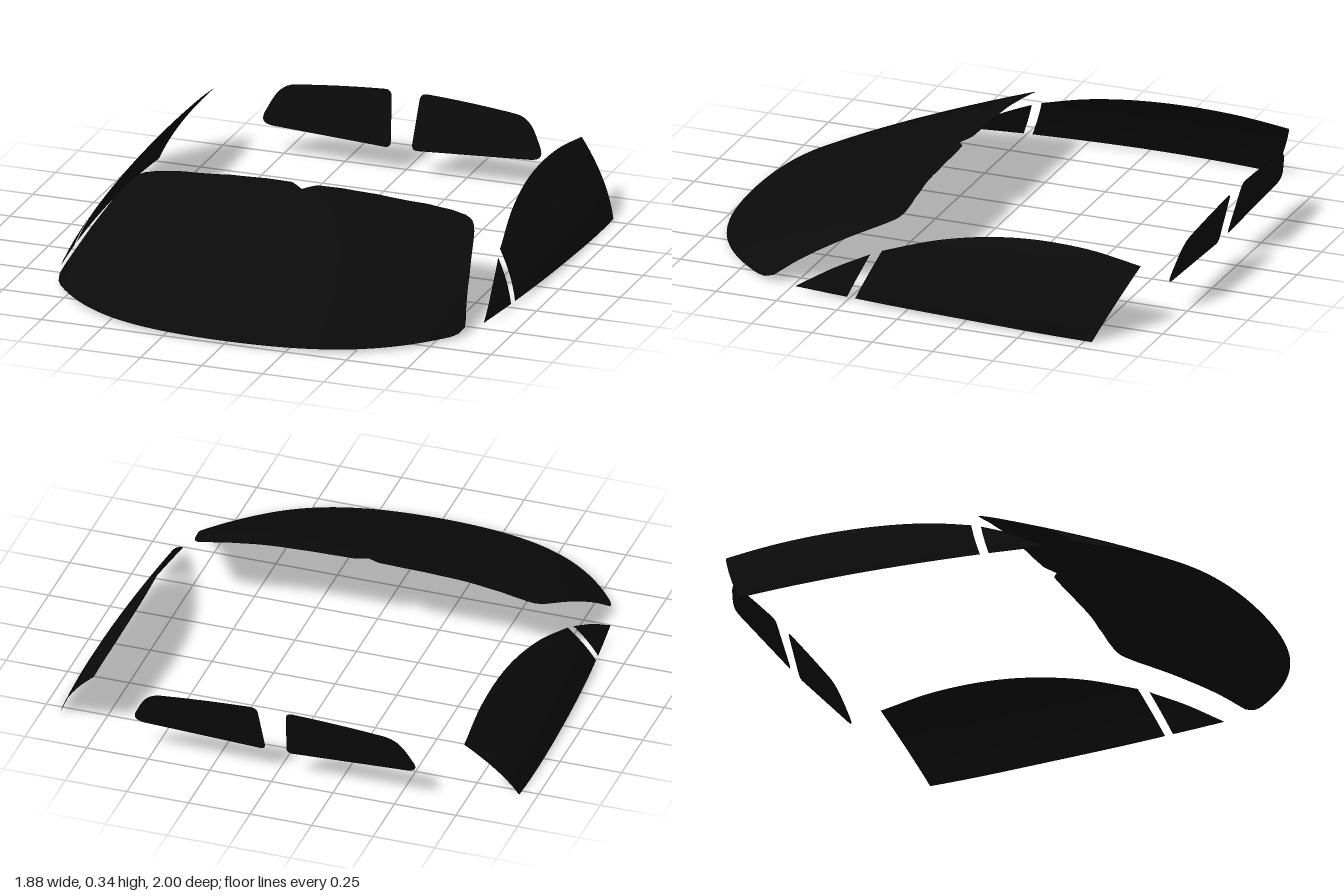
import * as THREE from 'three';
import { ParametricGeometry } from 'three/addons/geometries/ParametricGeometry.js';

const glass = new THREE.MeshStandardMaterial({ color: 0x0a0a0a, side: THREE.DoubleSide });

// Linear interpolation through [x, y] pairs
function lookup(points, x) {
  for (let i = 1; i < points.length; i++) {
    const [x0, y0] = points[i - 1], [x1, y1] = points[i];
    if (x <= x1) return y0 + (y1 - y0) * (x - x0) / (x1 - x0);
  }
  return points[points.length - 1][1];
}

function patch(name, fn, nu, nv) {
  const geometry = new ParametricGeometry(fn, nu, nv);
  geometry.computeVertexNormals();
  const mesh = new THREE.Mesh(geometry, glass);
  mesh.name = name;
  return mesh;
}

// Windshield: front outline heights by |x|, bulging forward in the middle
const TOP = [[0, 0.332], [0.02, 0.336], [0.045, 0.342], [0.15, 0.342], [0.3, 0.337], [0.5, 0.323],
  [0.6, 0.31], [0.66, 0.297], [0.69, 0.285], [0.71, 0.268], [0.73, 0.238], [0.77, 0.165],
  [0.8, 0.1], [0.823, 0.05], [0.83, 0.03]];
const BOTTOM = [[0, 0.012], [0.8, 0.012], [0.82, 0.016], [0.83, 0.03]];

function windshield() {
  return patch('windshield', (u, v, p) => {
    const x = 0.83 * Math.sin((u - 0.5) * Math.PI), a = Math.abs(x);
    const y = THREE.MathUtils.lerp(lookup(BOTTOM, a), lookup(TOP, a), v);
    const h = y - 0.012;
    const bow = (0.25 * a ** 2 + 0.45 * a ** 4) * (1 - 0.7 * h);
    p.set(x, y, 1 - 2.05 * h - 1.9 * h * h - bow);
  }, 100, 24);
}

// Side glass: lower and upper edges given as (z, y), x follows the body's curve
function bodyX(y, z) {
  const d = z + 0.5;
  return 0.94 - (d > 0 ? 0.0714 : 0.12) * d * d - 0.31 * y - 1.19 * y * y;
}

function sideGlass(name, side, lower, upper) {
  const curve = pts => new THREE.SplineCurve(pts.map(([z, y]) => new THREE.Vector2(z, y)));
  const low = curve(lower), high = curve(upper);
  return patch(name, (u, v, p) => {
    const t = side > 0 ? u : 1 - u;
    const q = low.getPoint(t).lerp(high.getPoint(t), v);
    p.set(side * bodyX(q.y, q.x), q.y, q.x);
  }, 32, 12);
}

// Rear pane: flat rounded outline leaning back
function rearPane(name, side) {
  const s = new THREE.Shape();
  s.moveTo(0.065, 0.105);
  s.lineTo(0.52, 0.128);
  s.bezierCurveTo(0.57, 0.13, 0.58, 0.148, 0.56, 0.185);
  s.bezierCurveTo(0.535, 0.235, 0.515, 0.285, 0.45, 0.292);
  s.quadraticCurveTo(0.27, 0.312, 0.085, 0.32);
  s.quadraticCurveTo(0.06, 0.32, 0.057, 0.295);
  s.lineTo(0.044, 0.13);
  s.quadraticCurveTo(0.042, 0.105, 0.065, 0.105);
  const pts = s.getPoints(10).map(p => new THREE.Vector2(side * p.x, p.y));
  const geometry = new THREE.ShapeGeometry(new THREE.Shape(pts));
  const pos = geometry.attributes.position;
  for (let i = 0; i < pos.count; i++) pos.setZ(i, -0.942 - 0.27 * (pos.getY(i) - 0.105));
  // Turn the faces to look backwards
  geometry.index.array.reverse();
  geometry.computeVertexNormals();
  const mesh = new THREE.Mesh(geometry, glass);
  mesh.name = name;
  return mesh;
}

export function createModel() {
  const group = new THREE.Group();
  group.name = 'carGlass';
  group.add(windshield());
  for (const [label, side] of [['left', 1], ['right', -1]]) {
    group.add(
      sideGlass(label + 'DoorWindow', side,
        [[0.215, 0.015], [-0.28, 0.012], [-0.78, 0]],
        [[0.14, 0.19], [-0.06, 0.25], [-0.27, 0.288], [-0.48, 0.303], [-0.7, 0.296], [-0.91, 0.267]]),
      sideGlass(label + 'QuarterWindow', side,
        [[0.475, 0.014], [0.25, 0.015]],
        [[0.473, 0.016], [0.33, 0.102], [0.185, 0.172]]),
      rearPane(label + 'RearWindow', side));
  }
  return group;
}
